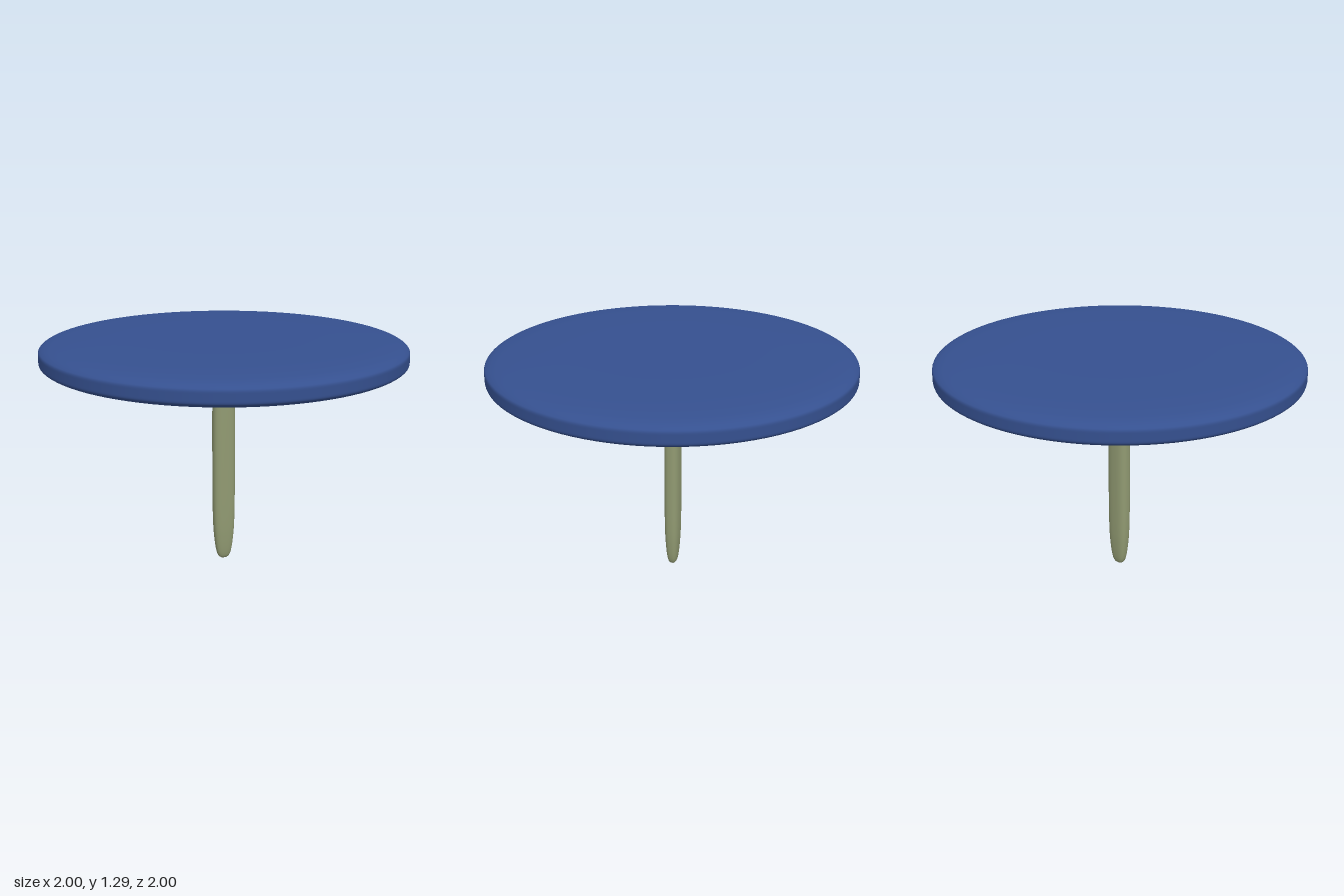
import * as THREE from 'three';

// Smooth curve through a few [radius, height] points
const smooth = (points, n) =>
  new THREE.SplineCurve(points.map(([r, y]) => new THREE.Vector2(r, y))).getPoints(n);

export function createModel() {
  const model = new THREE.Group();

  // Round disc with soft, pillowed rim; upper half mirrored below
  const midY = 1.205;
  const upper = [[1, 0.025], [0.988, 0.043], [0.955, 0.058], [0.9, 0.068], [0.8, 0.076], [0.6, 0.082], [0.3, 0.083], [0, 0.083]];
  const rim = [
    ...upper.map(([r, h]) => [r, midY - h]).reverse(),
    ...upper.map(([r, h]) => [r, midY + h]),
  ];
  const discProfile = smooth(rim, 90);
  discProfile.forEach((p) => { p.x = THREE.MathUtils.clamp(p.x, 0, 1); });
  const disc = new THREE.Mesh(
    new THREE.LatheGeometry(discProfile, 96),
    new THREE.MeshStandardMaterial({ color: 0x35508f }),
  );
  disc.name = 'disc';
  model.add(disc);

  // Flattened stick with rounded ends, its top sunk into the disc
  const stickProfile = smooth([
    [0, 0], [0.018, 0.003], [0.034, 0.02], [0.045, 0.06], [0.054, 0.13], [0.06, 0.22], [0.063, 0.4],
    [0.063, 0.82], [0.06, 1.0], [0.054, 1.11], [0.045, 1.17], [0.034, 1.21], [0.018, 1.228], [0, 1.23],
  ], 70);
  stickProfile.forEach((p) => { p.x = Math.max(p.x, 0); p.y = Math.max(p.y, 0); });
  const stickGeometry = new THREE.LatheGeometry(stickProfile, 40);

  // Turn the round section into a soft rectangle, narrower in z
  const pos = stickGeometry.attributes.position;
  for (let i = 0; i < pos.count; i++) {
    const x = pos.getX(i), z = pos.getZ(i), r = Math.hypot(x, z);
    if (r < 1e-6) continue;
    const c = x / r, s = z / r;
    const k = r / Math.pow(Math.abs(c) ** 2.8 + Math.abs(s) ** 2.8, 1 / 2.8);
    pos.setX(i, c * k);
    pos.setZ(i, s * k * 0.67);
  }
  // Shared seam keeps the shading smooth all round
  stickGeometry.computeVertexNormals();
  const normal = stickGeometry.attributes.normal;
  const rows = stickProfile.length, last = 40 * rows;
  for (let j = 0; j < rows; j++) {
    const n = new THREE.Vector3().fromBufferAttribute(normal, j)
      .add(new THREE.Vector3().fromBufferAttribute(normal, last + j)).normalize();
    normal.setXYZ(j, n.x, n.y, n.z);
    normal.setXYZ(last + j, n.x, n.y, n.z);
  }
  const stick = new THREE.Mesh(
    stickGeometry,
    new THREE.MeshStandardMaterial({ color: 0x919a72 }),
  );
  stick.name = 'stick';
  stick.position.z = -0.006;
  model.add(stick);

  return model;
}
